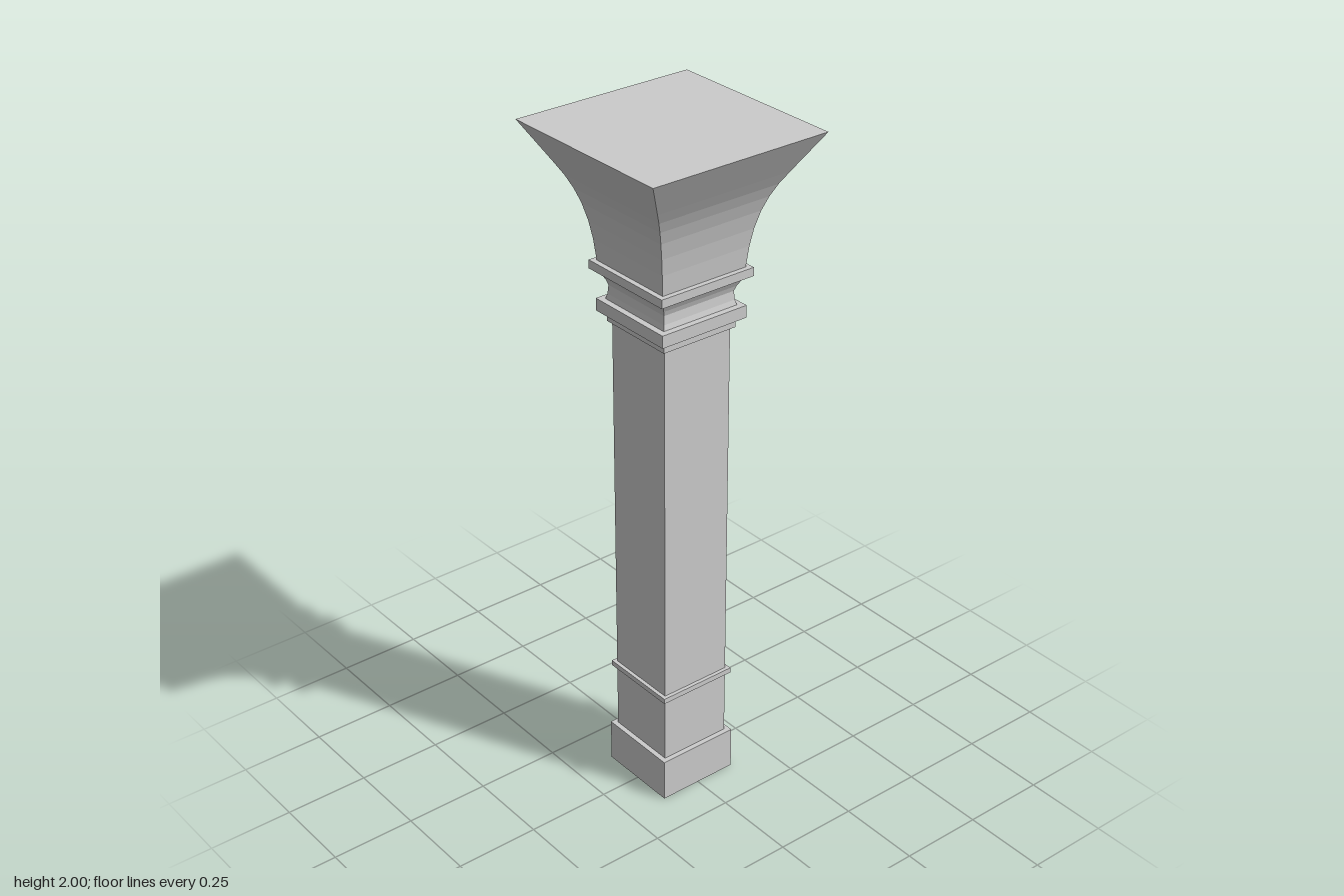
import * as THREE from 'three';

const material = new THREE.MeshStandardMaterial({ color: 0xcccccc, flatShading: true });

// Square section swept up a profile of [half width, height] pairs, closed at both ends
function squareTurned(name, profile) {
  const points = profile.map(([half, y]) => new THREE.Vector2(half * Math.SQRT2, y));
  points.unshift(new THREE.Vector2(0, points[0].y));
  points.push(new THREE.Vector2(0, points[points.length - 1].y));
  const mesh = new THREE.Mesh(new THREE.LatheGeometry(points, 4, Math.PI / 4), material);
  mesh.name = name;
  return mesh;
}

// Straight square block between two heights
const block = (name, half, y0, y1) => squareTurned(name, [[half, y0], [half, y1]]);

export function createModel() {
  const column = new THREE.Group();
  column.name = 'squareColumn';

  // Base and shaft
  column.add(
    block('plinth', 0.125, 0, 0.13),
    block('shaft', 0.11, 0.13, 1.445),
    block('lowerRing', 0.121, 0.334, 0.35),
  );

  // Mouldings between shaft and capital
  column.add(
    block('neckFillet', 0.12, 1.445, 1.474),
    block('neckBand', 0.14, 1.474, 1.51),
    squareTurned('neckHollow', [
      [0.122, 1.51], [0.118, 1.525], [0.116, 1.55], [0.121, 1.565], [0.129, 1.58], [0.14, 1.595],
    ]),
    block('collar', 0.152, 1.595, 1.62),
  );

  // Flared capital
  column.add(squareTurned('capital', [
    [0.137, 1.62], [0.143, 1.68], [0.151, 1.73], [0.163, 1.78],
    [0.177, 1.82], [0.193, 1.855], [0.213, 1.89], [0.278, 2],
  ]));

  return column;
}
